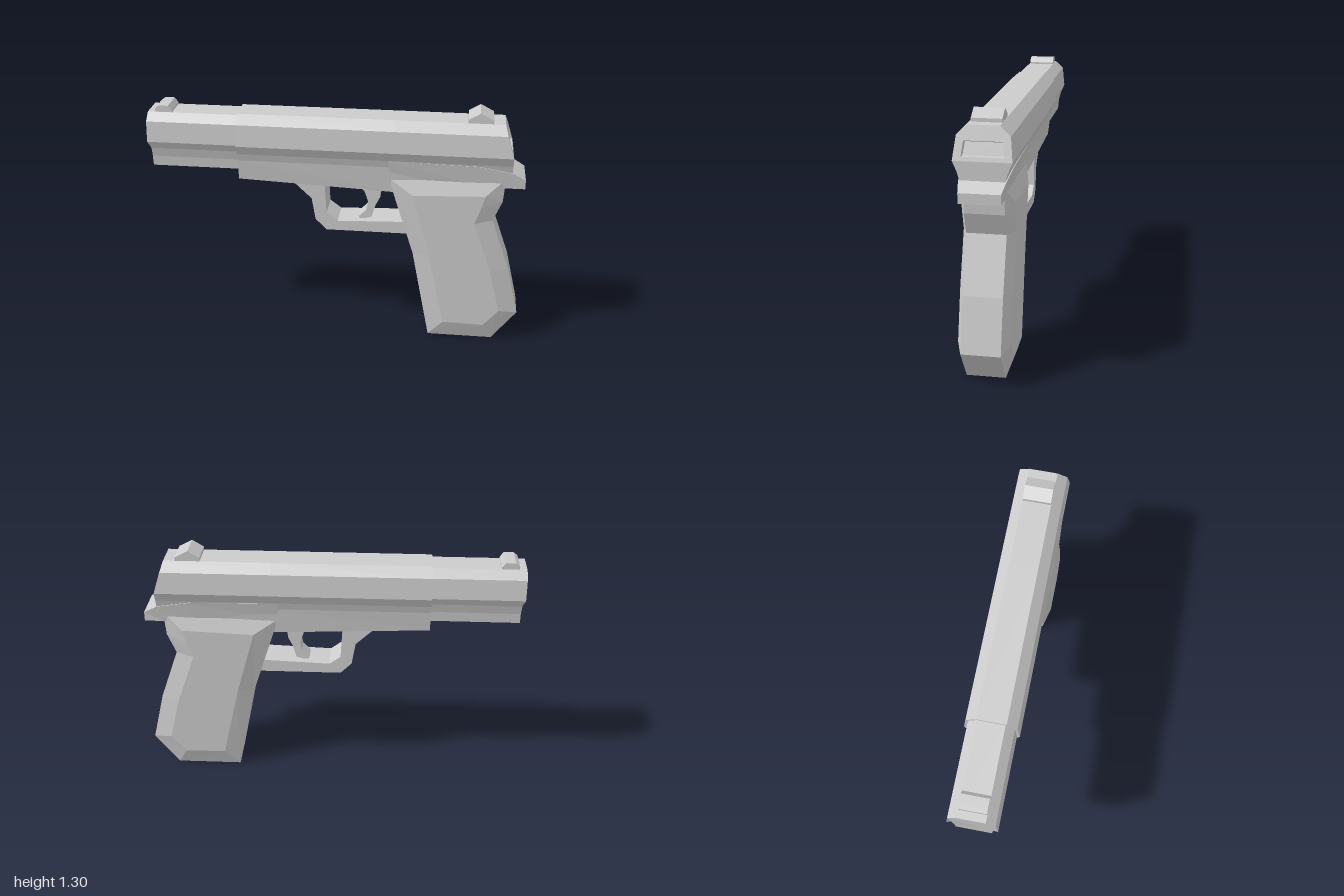
import * as THREE from 'three';

const steel = new THREE.MeshStandardMaterial({ color: 0xcccccc });
steel.name = 'light grey';
steel.flatShading = true;

// Mesh from a list of triangles / convex quads given as corner points
function facesMesh(name, faces) {
  const pos = [];
  for (const f of faces)
    for (let i = 1; i < f.length - 1; i++) pos.push(...f[0], ...f[i], ...f[i + 1]);
  const g = new THREE.BufferGeometry();
  g.setAttribute('position', new THREE.Float32BufferAttribute(pos, 3));
  g.computeVertexNormals();
  const m = new THREE.Mesh(g, steel);
  m.name = name;
  return m;
}

// Skin over rings that run counter-clockwise about the axis; flat maps a point to 2D for the caps
function loft(name, rings, flat, capEnd = true) {
  const faces = [];
  const n = rings[0].length;
  for (let r = 0; r < rings.length - 1; r++)
    for (let i = 0; i < n; i++) {
      const j = (i + 1) % n;
      faces.push([rings[r][i], rings[r][j], rings[r + 1][j], rings[r + 1][i]]);
    }
  const cap = (ring, flip) => {
    const pts = ring.map((p) => new THREE.Vector2(...flat(p)));
    for (const [a, b, c] of THREE.ShapeUtils.triangulateShape(pts, []))
      faces.push(flip ? [ring[c], ring[b], ring[a]] : [ring[a], ring[b], ring[c]]);
  };
  cap(rings[0], true);
  if (capEnd) cap(rings[rings.length - 1], false);
  return facesMesh(name, faces);
}
const alongX = (p) => [-p[2], p[1]];
const alongZ = (p) => [p[0], p[1]];

// Mirrored cross-section from [x, y, halfWidth] points listed top to bottom
const section = (pts) => [
  ...pts.map(([x, y, w]) => [x, y, w]),
  ...pts.slice().reverse().map(([x, y, w]) => [x, y, -w]),
];
const atZ = (pts, z) => pts.map(([x, y]) => [x, y, z]);
const plate = (name, pts, h) => loft(name, [atZ(pts, -h), atZ(pts, h)], alongZ);

export function createModel() {
  const model = new THREE.Group();
  model.name = 'pistol';

  // Front barrel housing
  const front = [[1.24, 0.07], [1.2, 0.115], [1.09, 0.126], [1.05, 0.108], [1.0, 0.095], [0.945, 0.09]];
  model.add(loft('barrelHousing', [
    section(front.map(([y, w]) => [y > 1.07 ? -1 : -0.985, y, w])),
    section(front.map(([y, w]) => [-0.5, y, w])),
  ], alongX));

  // Main body: the rear edge leans forward towards the top
  const rearX = (y) => 0.87 + (1.25 - y) * 0.3125;
  const body = [[1.25, 0.075], [1.205, 0.127], [1.09, 0.14], [1.04, 0.118], [1.0, 0.107]];
  const ringAt = (x, low) => section([...body, [low, 0.094]].map(([y, w]) => [x, y, w]));
  const rear = [
    ...body.map(([y, w]) => [Math.min(rearX(y), 0.92), y, w]),
    [0.88, 0.91, 0.094],
  ];
  model.add(loft('body', [ringAt(-0.52, 0.89), ringAt(0.31, 0.855), section(rear)], alongX, false));

  // Lower rear wall
  const strips = [];
  for (let i = 2; i < rear.length - 1; i++) {
    const [a, b] = [rear[i], rear[i + 1]];
    strips.push([[a[0], a[1], a[2]], [b[0], b[1], b[2]], [b[0], b[1], -b[2]], [a[0], a[1], -a[2]]]);
  }
  model.add(facesMesh('rearLowerWall', strips));

  // Upper rear wall with a slot
  const slot = [[-0.1, 1.11], [0.1, 1.11], [0.092, 1.18], [-0.092, 1.18]];
  const outline = section(rear.slice(0, 3)).map((p) => new THREE.Vector2(...alongX(p)));
  const wall = new THREE.Shape(outline);
  wall.holes.push(new THREE.Path(slot.map((p) => new THREE.Vector2(...p))));
  const wallGeo = new THREE.ShapeGeometry(wall).toNonIndexed();
  const p = wallGeo.attributes.position;
  for (let i = 0; i < p.count; i++) p.setXYZ(i, rearX(p.getY(i)), p.getY(i), -p.getX(i));
  wallGeo.computeVertexNormals();
  const wallMesh = new THREE.Mesh(wallGeo, steel);
  wallMesh.name = 'rearUpperWall';
  model.add(wallMesh);

  // Slot walls and floor
  const rim = slot.map(([u, v]) => [rearX(v), v, -u]);
  const floor = slot.map(([u, v]) => [rearX(v) - 0.03, v > 1.15 ? 1.17 : v, -u * 0.98]);
  const recess = [floor];
  for (let i = 0; i < 4; i++) {
    const j = (i + 1) % 4;
    recess.push([rim[i], rim[j], floor[j], floor[i]]);
  }
  model.add(facesMesh('rearSlot', recess));

  // Frame rail ending in a tang over the grip
  model.add(loft('tang', [
    section([[0.28, 1.04, 0.118], [0.28, 0.93, 0.096]]),
    section([[0.75, 1.03, 0.119], [0.75, 0.91, 0.1]]),
    section([[0.92, 1.0, 0.112], [0.89, 0.91, 0.1]]),
    section([[0.99, 0.96, 0.1], [0.99, 0.91, 0.1]]),
  ], alongX));

  // Grip with bevelled side panels
  const gripOuter = [[0.28, 0.935], [0.42, 0.5], [0.52, 0], [0.87, 0], [1.0, 0.17],
    [0.935, 0.44], [0.835, 0.72], [0.88, 0.83], [0.89, 0.96]];
  const gripInner = [[0.41, 0.855], [0.51, 0.5], [0.6, 0.1], [0.82, 0.095], [0.9, 0.19],
    [0.84, 0.43], [0.74, 0.71], [0.77, 0.8], [0.79, 0.87]];
  model.add(loft('grip', [
    atZ(gripInner, -0.13), atZ(gripOuter, -0.097), atZ(gripOuter, 0.097), atZ(gripInner, 0.13),
  ], alongZ));

  // Trigger guard and trigger
  model.add(plate('triggerGuard', [[-0.23, 0.885], [-0.13, 0.79], [-0.11, 0.67], [-0.05, 0.61],
    [0.41, 0.61], [0.4, 0.68], [0.01, 0.665], [-0.05, 0.71], [-0.06, 0.885]], 0.085));
  model.add(plate('trigger', [[0.1, 0.88], [0.15, 0.83], [0.17, 0.77], [0.16, 0.72], [0.12, 0.68],
    [0.13, 0.665], [0.19, 0.68], [0.21, 0.75], [0.235, 0.8], [0.24, 0.88]], 0.045));

  // Sights
  model.add(plate('rearSight', [[0.68, 1.24], [0.81, 1.24], [0.81, 1.268], [0.74, 1.305], [0.68, 1.268]], 0.074));
  model.add(plate('frontSight', [[-0.96, 1.23], [-0.87, 1.23], [-0.87, 1.25], [-0.89, 1.275],
    [-0.94, 1.275], [-0.96, 1.26]], 0.069));

  return model;
}
